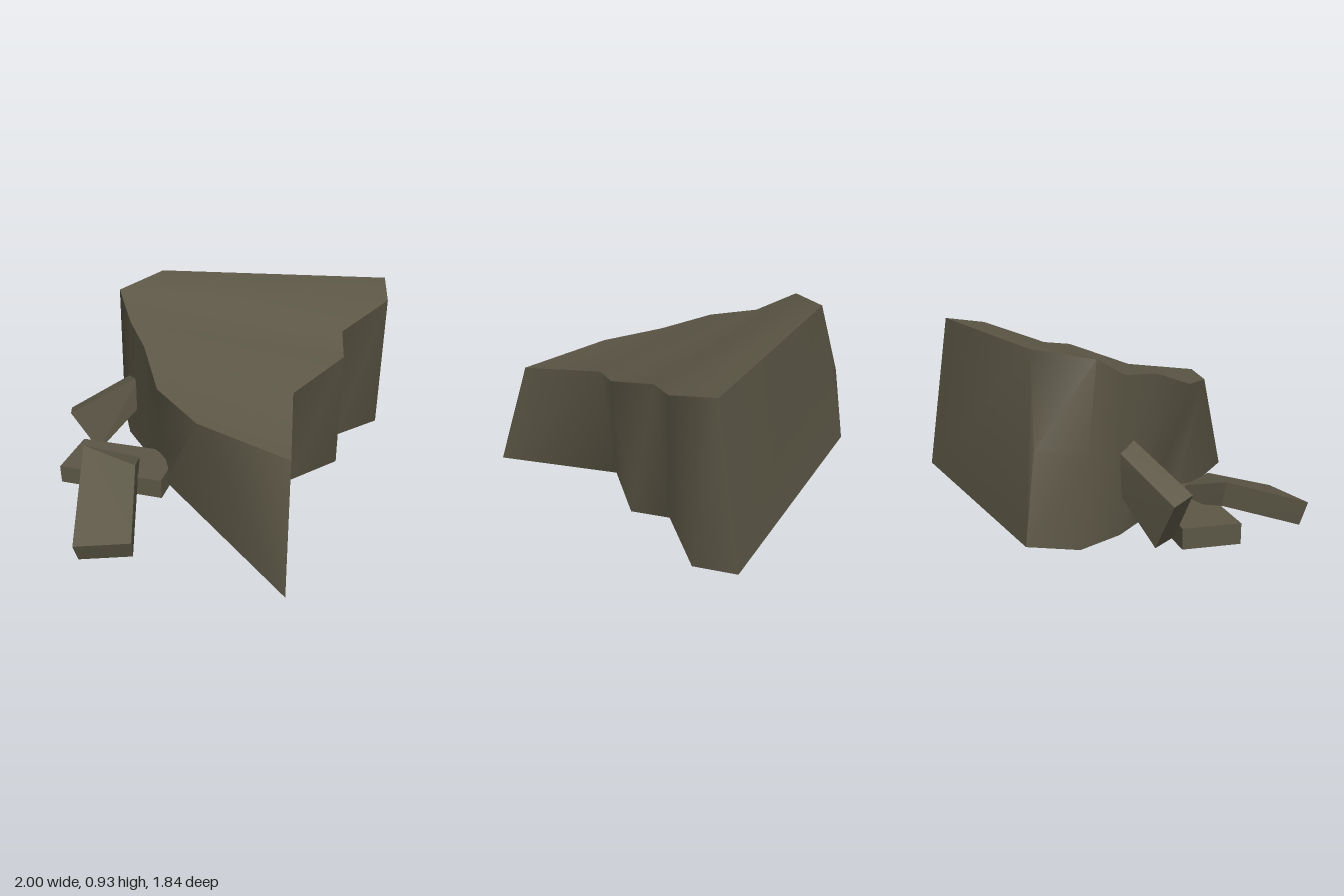
import * as THREE from 'three';
import { toCreasedNormals } from 'three/addons/utils/BufferGeometryUtils.js';

const stone = new THREE.MeshStandardMaterial({ color: 0x5c5746 });
stone.name = 'olive stone';

// Joins cross-sections (top left, top right, bottom right, bottom left, ...) into a closed solid.
function loft(name, rings, crease) {
  const pos = [];
  const tri = (a, b, c) => pos.push(...a, ...b, ...c);
  const n = rings[0].length;
  for (let i = 0; i < rings.length - 1; i++) {
    for (let j = 0; j < n; j++) {
      const k = (j + 1) % n;
      const a = rings[i][j], b = rings[i][k], c = rings[i + 1][k], d = rings[i + 1][j];
      tri(a, d, c);
      tri(a, c, b);
    }
  }
  const first = rings[0], last = rings[rings.length - 1];
  for (let j = 1; j < n - 1; j++) {
    tri(first[0], first[j], first[j + 1]);
    tri(last[0], last[j + 1], last[j]);
  }
  const geo = new THREE.BufferGeometry();
  geo.setAttribute('position', new THREE.Float32BufferAttribute(pos, 3));
  const mesh = new THREE.Mesh(toCreasedNormals(geo, crease), stone);
  mesh.name = name;
  return mesh;
}

export function createModel() {
  const group = new THREE.Group();
  group.name = 'rock outcrop';

  // Main rock: stepped sections running from the tall back wall to the front point
  const sections = [
    [[-0.04, 0.925, -0.73], [0.93, 0.925, -0.05], [1.0, 0.13, -0.14], [-0.12, 0.13, -0.92]],
    [[-0.32, 0.895, -0.67], [0.81, 0.89, 0.13], [0.88, 0.10, 0.04], [-0.30, 0.10, -0.78]],
    [[-0.355, 0.80, -0.47], [0.51, 0.80, 0.16], [0.56, 0.14, 0.10], [-0.37, 0.10, -0.55]],
    [[-0.39, 0.77, -0.23], [0.39, 0.77, 0.34], [0.44, 0.11, 0.27], [-0.375, 0.10, -0.35]],
    [[-0.45, 0.68, 0.03], [0.08, 0.68, 0.38], [0.12, 0.135, 0.32], [-0.35, 0.10, -0.20]],
    [[-0.405, 0.645, 0.34], [-0.17, 0.61, 0.75], [-0.29, 0.03, 0.92], [-0.405, 0.10, -0.03]],
  ];
  // Extra point halfway up the left wall; it bulges only at the back corner
  sections.forEach((s, i) => {
    s.push(i === 0 ? [-0.13, 0.53, -0.86] : s[0].map((v, k) => (v + s[3][k]) / 2));
  });
  group.add(loft('mainRock', sections, 1.05));

  // Front slab with a chipped upper corner
  const farLeft = [-0.745, 0.31, -0.24], farLeftLow = [-0.73, 0.20, -0.25];
  group.add(loft('frontSlab', [
    [farLeft, [-0.50, 0.225, -0.12], [-0.50, 0.14, -0.14], farLeftLow],
    [farLeft, [-0.57, 0.265, -0.01], [-0.55, 0.16, -0.04], farLeftLow],
    [[-1.0, 0.11, 0.23], [-0.765, 0.125, 0.36], [-0.75, 0.02, 0.33], [-0.97, 0.0, 0.20]],
  ], 0.15));

  // Flat slab lying on the ground
  group.add(loft('flatSlab', [
    [[-0.85, 0.165, -0.33], [-0.65, 0.165, -0.51], [-0.65, 0.07, -0.51], [-0.85, 0.07, -0.33]],
    [[-0.47, 0.18, 0.06], [-0.28, 0.18, -0.12], [-0.28, 0.075, -0.12], [-0.47, 0.075, 0.06]],
  ], 0.15));

  // Narrow slab leaning against the rock
  group.add(loft('leaningSlab', [
    [[-0.70, 0.33, -0.53], [-0.66, 0.30, -0.63], [-0.55, 0.08, -0.57], [-0.59, 0.10, -0.46]],
    [[-0.35, 0.51, -0.41], [-0.31, 0.49, -0.51], [-0.31, 0.32, -0.51], [-0.35, 0.34, -0.41]],
  ], 0.15));

  return group;
}
